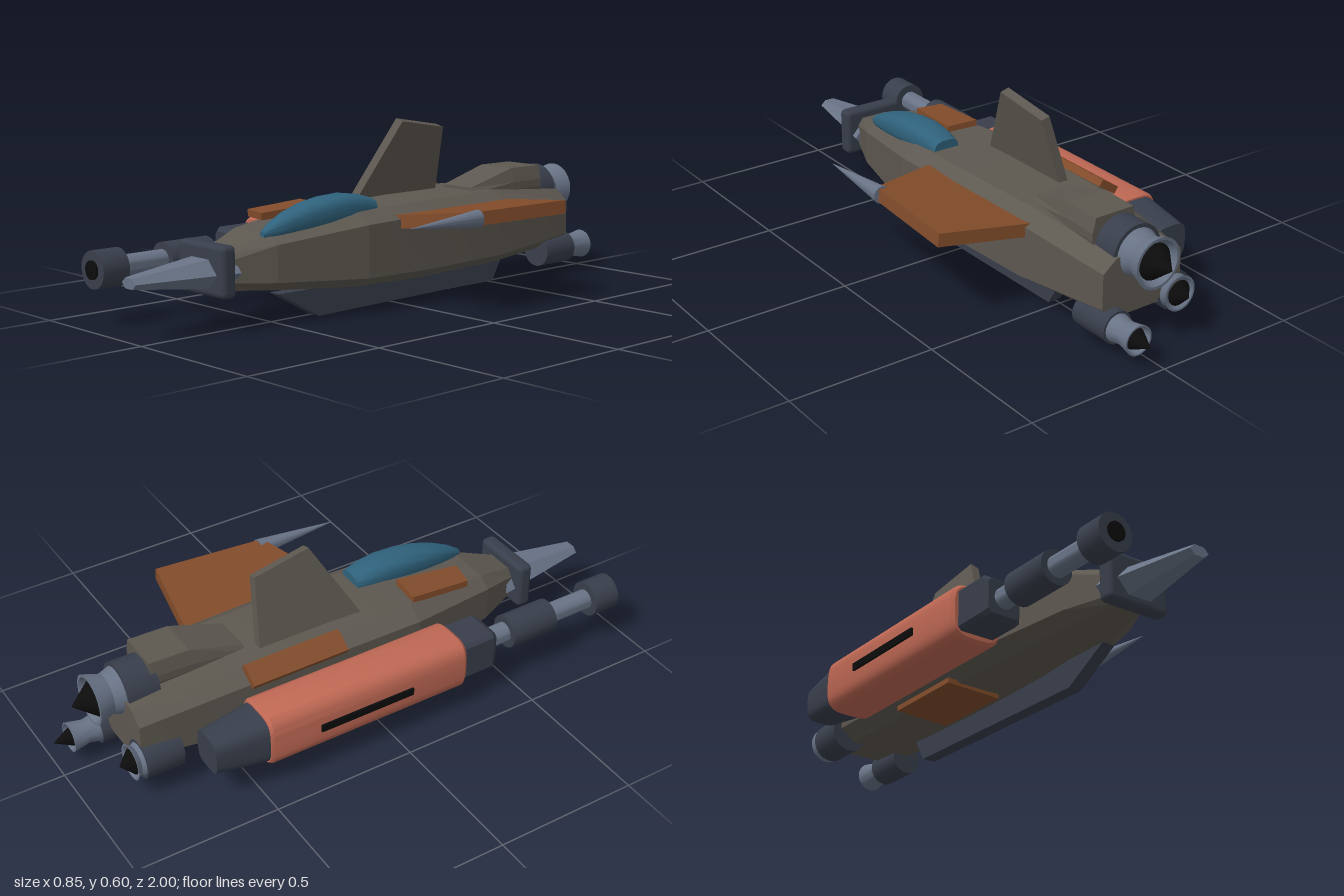
import * as THREE from 'three';
import { toCreasedNormals } from 'three/addons/utils/BufferGeometryUtils.js';
import { RoundedBoxGeometry } from 'three/addons/geometries/RoundedBoxGeometry.js';

const mat = (color) => new THREE.MeshStandardMaterial({ color, side: THREE.DoubleSide });
const HULL = mat(0x5d5850), DARK = mat(0x383e4b), STEEL = mat(0x687386);
const RUST = mat(0x824c2b), CORAL = mat(0xbd6753), GLASS = mat(0x2f627c), BLACK = mat(0x0c0c0c);

// Skin between rings ordered from back to front, each counter-clockwise seen from +z
function loft(rings, crease = 0.1) {
  const pos = [];
  const tri = (...pts) => pts.forEach((p) => pos.push(...p));
  const n = rings[0].length;
  for (let i = 0; i < rings.length - 1; i++) {
    for (let j = 0; j < n; j++) {
      const k = (j + 1) % n, a = rings[i], b = rings[i + 1];
      tri(a[j], a[k], b[k]);
      tri(a[j], b[k], b[j]);
    }
  }
  const first = rings[0], last = rings[rings.length - 1];
  for (let j = 1; j < n - 1; j++) {
    tri(first[0], first[j + 1], first[j]);
    tri(last[0], last[j], last[j + 1]);
  }
  const g = new THREE.BufferGeometry();
  g.setAttribute('position', new THREE.Float32BufferAttribute(pos, 3));
  return toCreasedNormals(g, crease);
}

// Chamfered rectangle section
function chamfered(z, cx, hw, y0, y1, cX, cY) {
  return [[hw, y0 + cY], [hw, y1 - cY], [hw - cX, y1], [cX - hw, y1],
    [-hw, y1 - cY], [-hw, y0 + cY], [cX - hw, y0], [hw - cX, y0]].map(([x, y]) => [cx + x, y, z]);
}

// Rounded-square section
function rounded(z, cx, cy, hw, hh, n = 32, power = 0.55) {
  return Array.from({ length: n }, (_, i) => {
    const t = (i / n) * Math.PI * 2, c = Math.cos(t), s = Math.sin(t);
    return [cx + hw * Math.sign(c) * Math.abs(c) ** power, cy + hh * Math.sign(s) * Math.abs(s) ** power, z];
  });
}

// Turned part lying along z, profile given as [radius, z]
function turned(profile, sides = 24) {
  const g = new THREE.LatheGeometry(profile.map(([r, z]) => new THREE.Vector2(r, z)), sides);
  return toCreasedNormals(g.rotateX(Math.PI / 2), 0.6);
}
const rod = (r0, r1, z0, z1, sides = 24) => turned([[0, z0], [r0, z0], [r1, z1], [0, z1]], sides);

// Plate cut from an outline and centred on its thickness
function plate(points, thickness) {
  const shape = new THREE.Shape(points.map(([x, y]) => new THREE.Vector2(x, y)));
  return new THREE.ExtrudeGeometry(shape, { depth: thickness, bevelEnabled: false }).translate(0, 0, -thickness / 2);
}
// Outline in (z, y), thickness along x
const uprightPlate = (points, t) => plate(points.map(([z, y]) => [-z, y]), t).rotateY(Math.PI / 2);
// Outline in (x, z), thickness along y
const flatPlate = (points, t) => plate(points.map(([x, z]) => [x, -z]), t).rotateX(-Math.PI / 2);

export function createModel() {
  const model = new THREE.Group();
  const add = (name, geometry, material, x = 0, y = 0, z = 0, parent = model) => {
    const m = new THREE.Mesh(geometry, material);
    m.name = name;
    m.position.set(x, y, z);
    parent.add(m);
    return m;
  };
  const group = (name, x, y, z) => {
    const g = new THREE.Group();
    g.name = name;
    g.position.set(x, y, z);
    model.add(g);
    return g;
  };
  const CX = -0.057;

  // Hull: [z, half width, bottom, top, chamfer x, chamfer y]
  add('hull', loft([
    [-0.82, 0.155, 0.11, 0.31, 0.05, 0.04],
    [-0.45, 0.19, 0.085, 0.34, 0.06, 0.037],
    [-0.1, 0.2, 0.08, 0.34, 0.06, 0.037],
    [0.2, 0.195, 0.085, 0.33, 0.06, 0.035],
    [0.53, 0.13, 0.11, 0.29, 0.045, 0.03],
    [0.69, 0.065, 0.125, 0.24, 0.02, 0.025],
  ].map(([z, hw, y0, y1, cX, cY]) => chamfered(z, CX, hw, y0, y1, cX, cY))), HULL);

  // Nose
  add('noseCollar', new RoundedBoxGeometry(0.232, 0.167, 0.055, 2, 0.018), DARK, CX, 0.193, 0.707);
  const hex = (z, w, h) => [[w, 0], [w / 2, h], [-w / 2, h], [-w, 0], [-w / 2, -h], [w / 2, -h]]
    .map(([x, y]) => [x + CX, y + 0.183, z]);
  add('noseProbe', loft([hex(0.65, 0.1, 0.055), hex(1, 0.036, 0.017)]), STEEL);

  // Canopy: [z, half width, top, bottom]
  add('canopy', loft([
    [0.1, 0.048, 0.365, 0.3], [0.15, 0.055, 0.38, 0.295], [0.22, 0.06, 0.39, 0.29], [0.3, 0.06, 0.386, 0.285],
    [0.38, 0.053, 0.373, 0.28], [0.45, 0.042, 0.352, 0.278], [0.51, 0.028, 0.325, 0.276], [0.55, 0.01, 0.3, 0.275],
  ].map(([z, hw, y1, y0]) => rounded(z, 0.021, (y0 + y1) / 2, hw, (y1 - y0) / 2, 28, 0.75)), 0.8), GLASS);

  // Leaning dorsal fin and engine fairing
  const fin = add('dorsalFin', uprightPlate([[0.04, -0.02], [-0.12, 0.27], [-0.325, 0.235], [-0.35, -0.02]], 0.033),
    HULL, -0.125, 0.34, 0);
  fin.rotation.z = -0.26;
  add('engineFairing', loft([
    chamfered(-0.72, -0.025, 0.085, 0.28, 0.405, 0.012, 0.05),
    chamfered(-0.58, -0.03, 0.085, 0.28, 0.405, 0.012, 0.05),
    chamfered(-0.39, -0.04, 0.078, 0.28, 0.35, 0.012, 0.02),
  ]), HULL);

  // Left wing with tip spike
  const wing = group('leftWing', 0.1, 0.287, 0);
  wing.rotation.z = 0.105;
  add('wingPanel', flatPlate([[0, -0.485], [0.325, -0.43], [0.292, -0.03], [0, 0.075]], 0.045), RUST, 0, 0, 0, wing);
  add('wingSpike', rod(0.03, 0.001, -0.05, 0.25, 14), STEEL, 0.38, 0.316, 0);

  // Ventral keel
  add('keel', uprightPlate([[0.5, 0.095], [0.33, 0.001], [-0.49, 0.012], [-0.54, 0.095]], 0.047), DARK, 0.016, 0, 0);

  // Engines: [name, x, y, radius, casing front, casing back, bell rim, plug tip]
  [
    ['mainEngine', -0.042, 0.302, 0.093, -0.7, -0.81, -0.905, -0.965],
    ['leftEngine', 0.06, 0.093, 0.055, -0.7, -0.85, -0.947, -1],
    ['rightEngine', -0.19, 0.13, 0.066, -0.69, -0.82, -0.85, -0.888],
  ].forEach(([name, x, y, r, front, back, rim, tip]) => {
    const e = group(name, x, y, 0);
    const waist = back + (rim - back) * 0.4;
    add('casing', rod(r, r, back, front), DARK, 0, 0, 0, e);
    add('bell', turned([[r * 0.55, waist], [r * 0.82, rim], [r * 0.92, rim], [r * 0.72, waist], [r * 0.86, back]]),
      STEEL, 0, 0, 0, e);
    add('plug', rod(0.001, r * 0.66, tip, waist + (rim - waist) * 0.7), BLACK, 0, 0, 0, e);
  });

  // Right-hand gun pod
  const gun = group('gunPod', -0.327, 0.181, 0);
  const podRing = (z, r) => rounded(z, 0, 0, r, r * 1.02);
  add('podBody', loft([podRing(-0.47, 0.088), podRing(-0.46, 0.093), podRing(0.268, 0.093), podRing(0.28, 0.084)], 0.5),
    CORAL, 0, 0, 0, gun);
  add('podTail', loft([rounded(-0.65, 0, 0, 0.062, 0.062), rounded(-0.47, 0, 0, 0.084, 0.084)], 0.5), DARK, 0, 0, 0, gun);
  add('podVent', new THREE.BoxGeometry(0.02, 0.026, 0.35), BLACK, -0.09, 0, -0.115, gun);
  add('gunBreech', loft([
    chamfered(0.27, 0, 0.071, -0.071, 0.071, 0.012, 0.012),
    chamfered(0.4, 0, 0.071, -0.071, 0.071, 0.012, 0.012),
    chamfered(0.42, 0, 0.058, -0.058, 0.058, 0.012, 0.012),
  ]), DARK, 0, 0, 0, gun);
  add('barrel', rod(0.035, 0.035, 0.4, 0.9), STEEL, 0, 0, 0, gun);
  add('barrelSleeve', rod(0.058, 0.058, 0.5, 0.68), DARK, 0, 0, 0, gun);
  add('muzzle', rod(0.062, 0.062, 0.85, 0.948), DARK, 0, 0, 0, gun);
  add('bore', rod(0.031, 0.031, 0.9, 0.955), BLACK, 0, 0, 0, gun);

  // Bolted-on armour plates
  const shoulder = add('shoulderPlate', new THREE.BoxGeometry(0.078, 0.026, 0.35), RUST, -0.235, 0.328, -0.27);
  shoulder.rotation.z = 0.58;
  const deck = add('deckPlate', flatPlate([[-0.06, -0.12], [0.055, -0.11], [0.03, 0.12], [-0.065, 0.1]], 0.024),
    RUST, -0.127, 0.33, 0.335);
  deck.rotation.x = 0.06;
  const belly = add('bellyPlate', new THREE.BoxGeometry(0.2, 0.018, 0.3), RUST, -0.14, 0.079, -0.15);
  belly.rotation.z = -0.03;

  return model;
}
